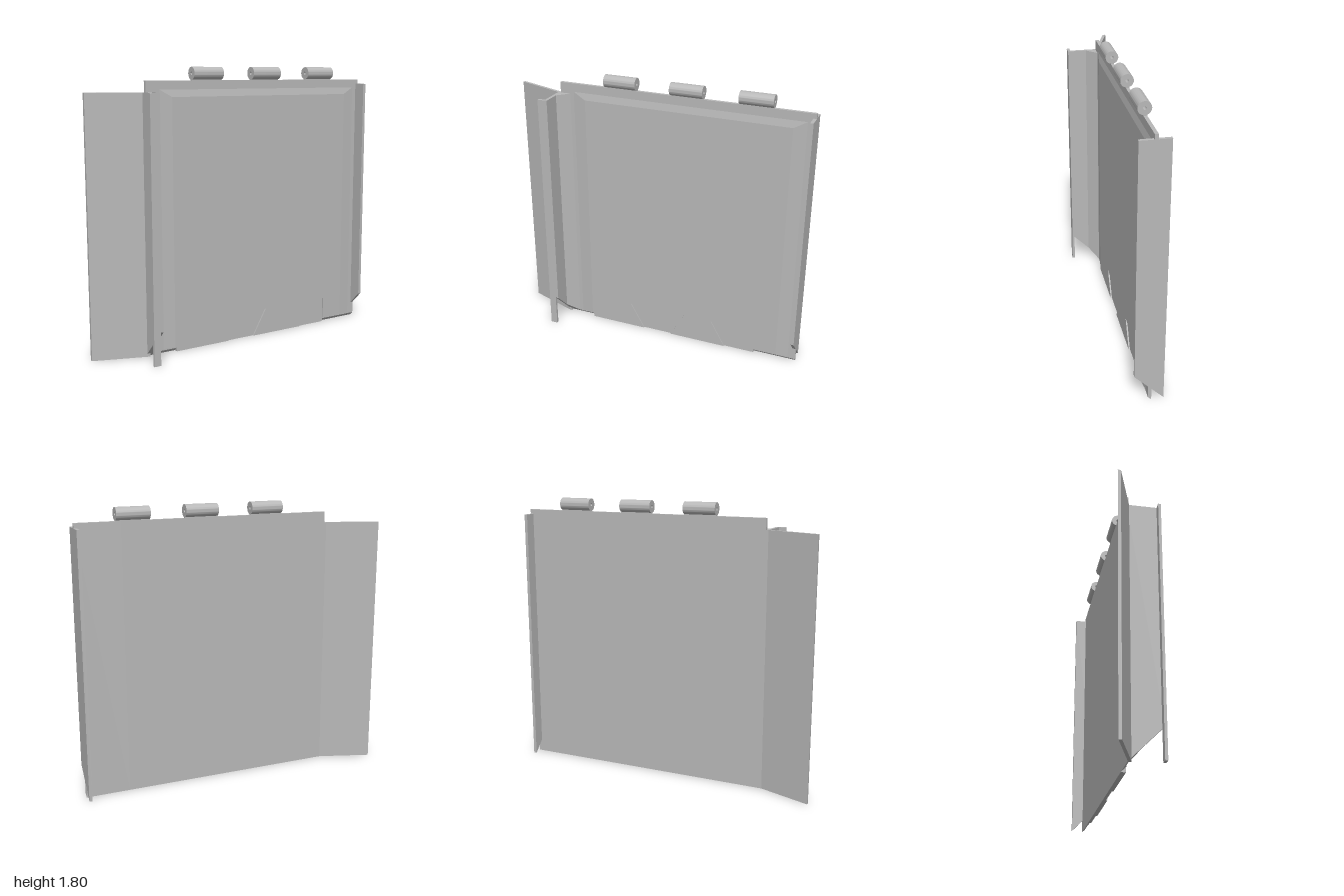
import * as THREE from 'three';
import { toCreasedNormals } from 'three/addons/utils/BufferGeometryUtils.js';

const steel = new THREE.MeshStandardMaterial({ color: 0xb8b8b8 });
steel.name = 'grey steel';

const BACK = -0.05, FRONT = -0.029; // z faces of the main panel

export function createModel() {
  const group = new THREE.Group();

  const add = (name, geometry) => {
    const mesh = new THREE.Mesh(geometry, steel);
    mesh.name = name;
    group.add(mesh);
    return mesh;
  };

  const outline = (points) => new THREE.Shape(points.map(([x, y]) => new THREE.Vector2(x, y)));

  // Upright prism from an (x, z) plan; its bottom may follow a slope y = floor(z)
  const upright = (name, plan, top, floor = () => 0) => {
    const g = new THREE.ExtrudeGeometry(outline(plan.map(([x, z]) => [x, -z])), { depth: top, bevelEnabled: false });
    g.rotateX(-Math.PI / 2);
    const p = g.attributes.position;
    for (let i = 0; i < p.count; i++) {
      if (p.getY(i) < 0.001) p.setY(i, Math.max(0, floor(p.getZ(i))));
    }
    g.computeVertexNormals();
    return add(name, g);
  };
  const rect = (x0, x1, z0, z1) => [[x0, z0], [x1, z0], [x1, z1], [x0, z1]];

  const leftSlope = (z) => z + 0.05;
  const rightSlope = (z) => z + 0.13;

  // Main panel, with the lower edge bevelled outside the middle section
  upright('panelSide', rect(-0.655, -0.47, BACK, FRONT), 1.72, leftSlope);
  upright('panelMiddle', rect(-0.47, 0.715, BACK, FRONT), 1.72);
  upright('panelOuterSide', rect(0.715, 1, BACK, FRONT), 1.72, leftSlope);

  // Shallow raised front skin with tapered borders and two recesses at the foot
  const skin = new THREE.ExtrudeGeometry(outline([
    [-0.57, 0.03], [-0.47, 0.03], [-0.47, 0], [-0.08, 0], [-0.18, 0.175], [0.22, 0.175],
    [0.12, 0], [0.51, 0], [0.41, 0.175], [0.715, 0.175], [0.715, 0.03], [0.96, 0.03],
    [0.96, 1.67], [-0.57, 1.67],
  ]), { depth: 0.01, bevelEnabled: false });
  const sp = skin.attributes.position;
  for (let i = 0; i < sp.count; i++) {
    if (sp.getZ(i) < 0.005) continue;
    if (sp.getX(i) < -0.56) sp.setX(i, -0.48);
    if (sp.getX(i) > 0.95) sp.setX(i, 0.87);
    if (sp.getY(i) > 1.66) sp.setY(i, 1.62);
  }
  skin.translate(0, 0, FRONT - 0.001);
  skin.computeVertexNormals();
  add('frontSkin', skin);

  // Angled wing behind the panel
  upright('wing', [[-0.655, BACK], [-0.655, FRONT], [-0.67, FRONT], [-1, -0.144], [-1, -0.163], [-0.67, BACK]], 1.65);

  // Side bracket: web, outer flange and corner fillet
  upright('bracketWeb', rect(-0.675, -0.655, -0.045, 0.16), 1.65, leftSlope);
  upright('bracketFlange', rect(-0.72, -0.675, 0.143, 0.16), 1.65);
  upright('cornerFillet', [[-0.655, FRONT], [-0.587, FRONT], [-0.655, 0.039]], 1.65, leftSlope);

  // End plate across the other edge
  upright('endPlate', rect(0.98, 1, -0.125, 0.055), 1.69, rightSlope);

  // Hinge barrels along the top edge
  const ring = new THREE.Shape().absarc(0, 0, 0.04, 0, Math.PI * 2);
  ring.holes.push(new THREE.Path().absarc(0, 0, 0.01, 0, Math.PI * 2, true));
  const barrel = toCreasedNormals(
    new THREE.ExtrudeGeometry(ring, { depth: 0.212, bevelEnabled: false, curveSegments: 32 }), 0.6);
  barrel.translate(0, 0, -0.106).rotateY(Math.PI / 2);
  for (const x of [-0.23, 0.208, 0.645]) {
    add('hingeBarrel', barrel).position.set(x, 1.763, -0.036);
    const neck = new THREE.BoxGeometry(0.212, 0.02, FRONT - BACK);
    add('hingeNeck', neck).position.set(x, 1.72, (FRONT + BACK) / 2);
  }

  return group;
}
